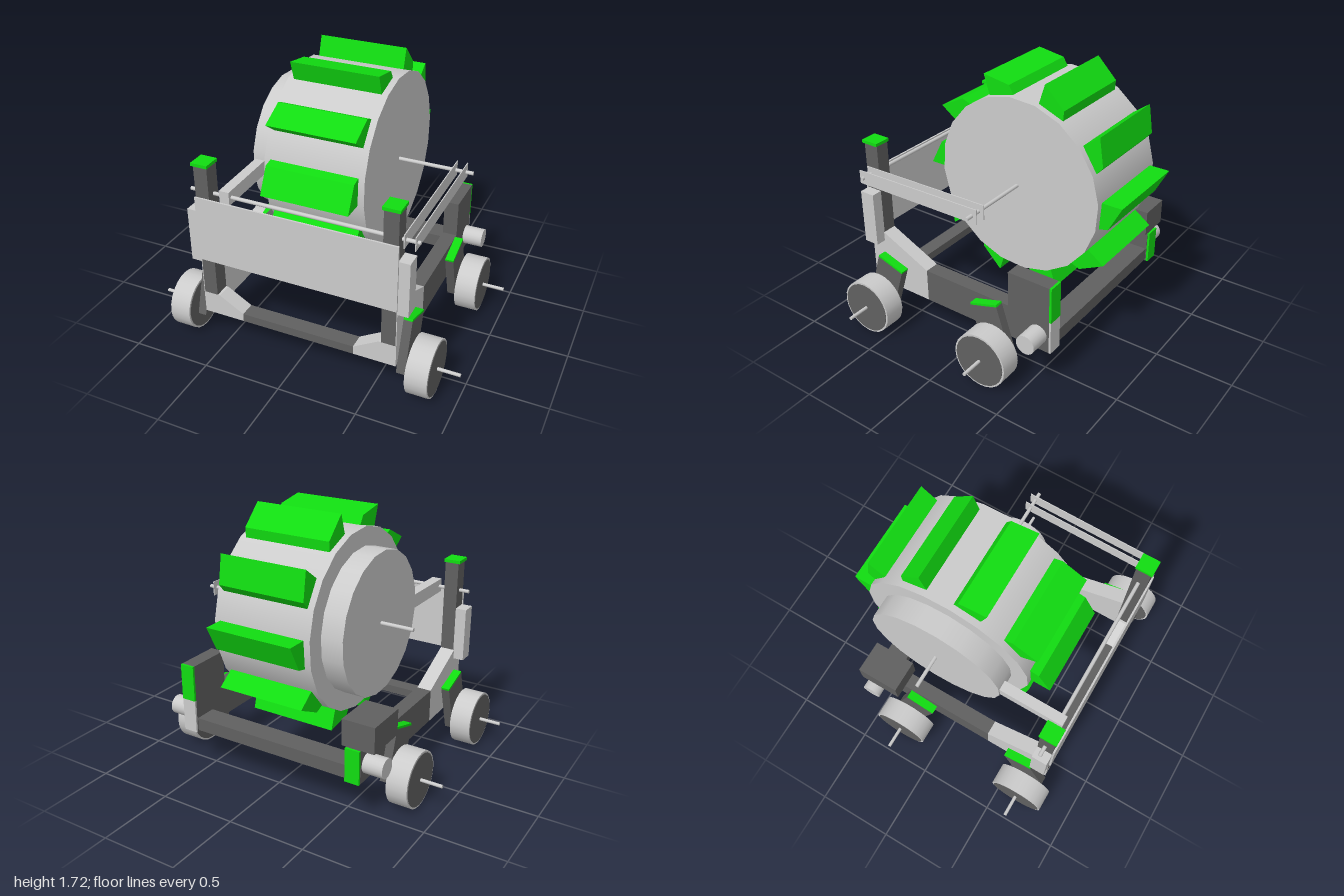
import * as THREE from 'three';

const light = new THREE.MeshStandardMaterial({ color: 0xcccccc });
const dark = new THREE.MeshStandardMaterial({ color: 0x606060 });
const green = new THREE.MeshStandardMaterial({ color: 0x11dd11 });

export function createModel() {
  const model = new THREE.Group();

  const add = (name, geometry, material) => {
    const mesh = new THREE.Mesh(geometry, material);
    mesh.name = name;
    model.add(mesh);
    return mesh;
  };

  // Box given by its extents on each axis
  const box = (name, material, [x0, x1], [y0, y1], [z0, z1]) => {
    const g = new THREE.BoxGeometry(Math.abs(x1 - x0), y1 - y0, z1 - z0);
    g.translate((x0 + x1) / 2, (y0 + y1) / 2, (z0 + z1) / 2);
    return add(name, g, material);
  };

  // Cylinder lying along x
  const rod = (name, material, [x0, x1], y, z, radius, sides = 12, start = 0) => {
    const g = new THREE.CylinderGeometry(radius, radius, Math.abs(x1 - x0), sides, 1, false, start);
    g.rotateZ(-Math.PI / 2);
    g.translate((x0 + x1) / 2, y, z);
    return add(name, g, material);
  };

  // Side profile of [z, y] points swept along x
  const sideProfile = (name, material, points, [xa, xb]) => {
    const x0 = Math.min(xa, xb), x1 = Math.max(xa, xb);
    const shape = new THREE.Shape(points.map(p => new THREE.Vector2(...p)));
    const g = new THREE.ExtrudeGeometry(shape, { depth: x1 - x0, bevelEnabled: false });
    g.rotateY(-Math.PI / 2);
    g.translate(x1, 0, 0);
    return add(name, g, material);
  };

  // Drum, its side hub and the axle
  const drumY = 1.06, drumZ = -0.14, turn = THREE.MathUtils.degToRad(5);
  rod('drum', light, [-0.36, 0.29], drumY, drumZ, 0.56, 20, turn);
  rod('drumHub', light, [-0.5, -0.36], drumY, drumZ, 0.445, 20, turn);
  rod('drumAxle', light, [-0.71, 0.77], 1.065, drumZ, 0.012);

  // Ring of ten scoops: [degrees from top, radius]
  const scoop = [[22.1, 0.69], [7.5, 0.615], [5, 0.56], [14, 0.54], [23, 0.56]];
  for (let i = 0; i < 10; i++) {
    const points = scoop.map(([deg, r]) => {
      const a = THREE.MathUtils.degToRad(deg + i * 36);
      return [drumZ + r * Math.sin(a), drumY + r * Math.cos(a)];
    });
    sideProfile('scoop', green, points, [-0.32, 0.25]);
  }

  // Frame cross beams and front panel
  box('frontBeam', dark, [-0.37, 0.37], [0.208, 0.262], [0.645, 0.745]);
  box('rearBeam', dark, [-0.55, 0.55], [0.27, 0.355], [-0.605, -0.46]);
  box('frontPanel', light, [-0.64, 0.64], [0.605, 1.035], [0.745, 0.757]);
  rod('frontRod', light, [-0.7, 0.74], 1.05, 0.69, 0.012);

  for (const s of [1, -1]) {
    // Side rail, gusset and post
    const rail = [s * 0.545, s * 0.64];
    box('sideRail', dark, rail, [0.262, 0.48], [-0.61, 0.3]);
    sideProfile('railGusset', light, [[0.3, 0.262], [0.645, 0.262], [0.645, 0.64], [0.3, 0.48]], rail);
    box('frontPost', dark, [s * 0.545, s * 0.635], [0.355, 1.24], [0.645, 0.745]);
    box('postCap', green, [s * 0.537, s * 0.645], [1.24, 1.26], [0.64, 0.755]);
    box('postSidePlate', light, [s * 0.635, s * 0.64], [0.262, 0.6], [0.645, 0.745]);
    box('sideBlock', light, [s * 0.635, s * 0.706], [0.58, 0.935], [0.645, 0.745]);

    // Front corner gusset
    const corner = [[0.64, 0.208], [0.64, 0.355], [0.53, 0.355], [0.37, 0.262], [0.37, 0.208]];
    const shape = new THREE.Shape(corner.map(([x, y]) => new THREE.Vector2(s * x, y)));
    const g = new THREE.ExtrudeGeometry(shape, { depth: 0.1, bevelEnabled: false });
    g.translate(0, 0, 0.645);
    add('cornerGusset', g, light);

    // Wheels on tilted legs, front and rear
    for (const [z, tilt] of [[0.64, -1], [-0.27, 1]]) {
      rod('wheel', light, [s * 0.72, s * 0.857], 0.187, z, 0.18, 24);
      rod('wheelDisc', dark, [s * 0.717, s * 0.86], 0.187, z, 0.168, 24);
      rod('wheelAxle', light, [s * 0.64, s], 0.187, z, 0.011);
      const leg = new THREE.Group();
      leg.name = 'wheelLeg';
      const body = new THREE.Mesh(new THREE.BoxGeometry(0.055, 0.33, 0.2), dark);
      body.name = 'legBody';
      body.position.y = 0.115;
      const cap = new THREE.Mesh(new THREE.BoxGeometry(0.055, 0.014, 0.2), green);
      cap.name = 'legCap';
      cap.position.y = 0.287;
      leg.add(body, cap);
      leg.position.set(s * 0.672, 0.187, z);
      leg.rotation.x = tilt * 0.3;
      model.add(leg);
    }

    // Rear motor shaft
    rod('motorShaft', light, [s * 0.6, s * 0.77], 0.37, -0.535, 0.062, 20);
  }

  // Rear boxes: upright on the left, flat on the right
  box('uprightBox', dark, [0.545, 0.64], [0.262, 0.715], [-0.612, -0.325]);
  box('uprightBoxPlate', green, [0.545, 0.64], [0.48, 0.715], [-0.627, -0.612]);
  box('lowerPlate', light, [0.545, 0.64], [0.262, 0.48], [-0.625, -0.612]);
  box('flatBox', dark, [-0.728, -0.515], [0.482, 0.65], [-0.612, -0.335]);
  box('flatBoxPlate', green, [-0.64, -0.545], [0.262, 0.48], [-0.627, -0.612]);

  // Drum arms: a solid one on the right, a pair of thin plates on the left
  const arm = [[0.72, 1.008], [0.72, 1.095], [-0.175, 1.112], [-0.175, 1.018]];
  sideProfile('rightArm', light, arm, [-0.49, -0.425]);
  for (const x of [0.655, 0.72]) sideProfile('leftArmPlate', light, arm, [x - 0.003, x + 0.003]);

  return model;
}
